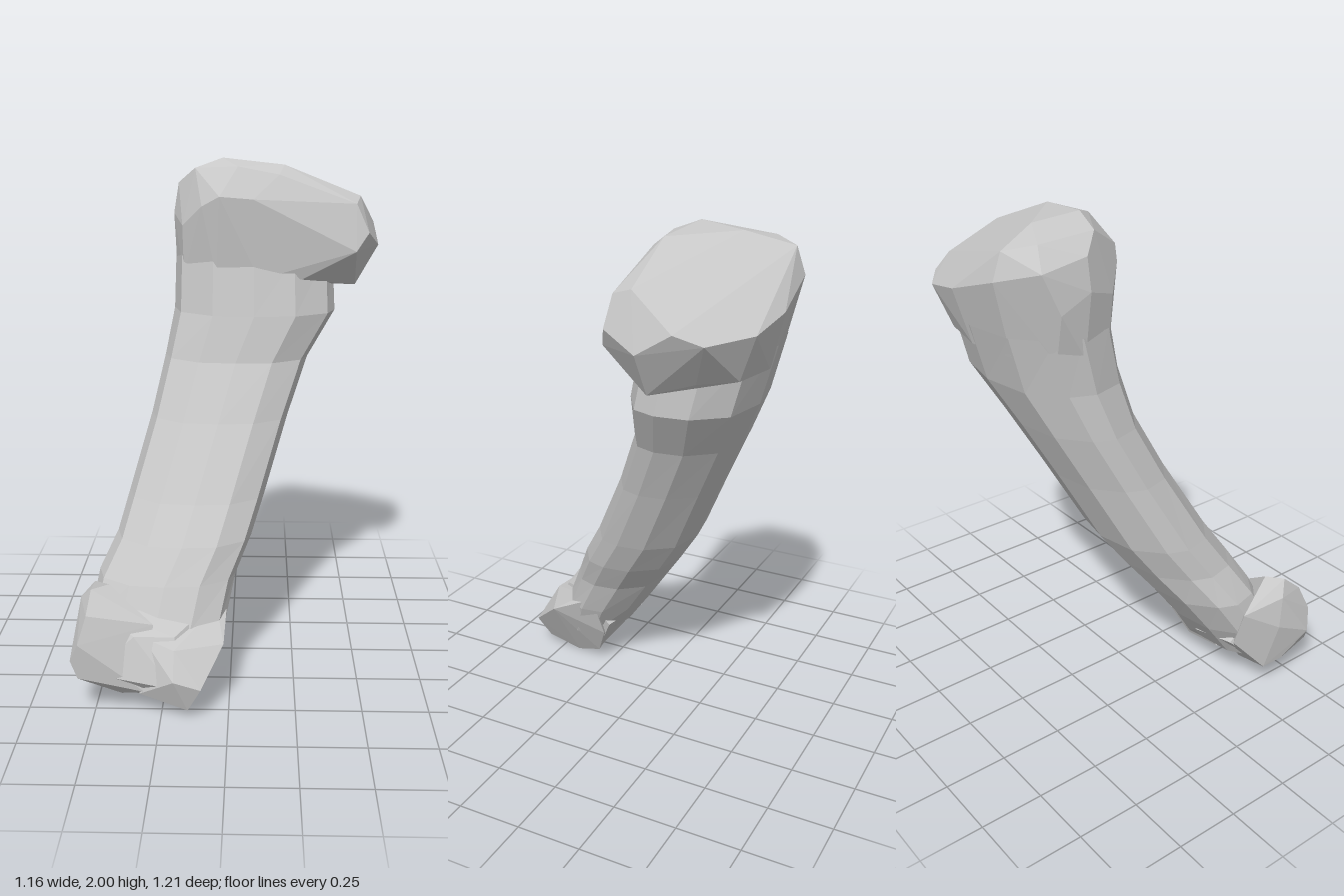
import * as THREE from 'three';
import { ConvexGeometry } from 'three/addons/geometries/ConvexGeometry.js';

// Shaft cross-section: flat at the front, fuller at the back left (x, z in -1..1)
const PROFILE = [[-1, 0], [-0.9, 0.54], [-0.5, 0.93], [0, 1], [0.5, 0.95], [0.9, 0.6],
  [1, 0.2], [0.95, -0.35], [0.66, -0.85], [0.1, -1], [-0.5, -0.85], [-0.88, -0.4]];

// Shaft stations, top to bottom: y, x min, x max, z min, z max
const STATIONS = [
  [1.62, -0.235, 0.4, -0.57, -0.09],
  [1.4, -0.24, 0.41, -0.51, -0.05],
  [1.22, -0.275, 0.3, -0.42, -0.02],
  [1.0, -0.325, 0.22, -0.31, 0.08],
  [0.72, -0.405, 0.13, -0.175, 0.23],
  [0.58, -0.445, 0.08, -0.08, 0.32],
  [0.45, -0.51, 0.02, 0.015, 0.39],
  [0.3, -0.54, -0.015, 0.12, 0.46],
  [0.15, -0.53, -0.07, 0.23, 0.48],
];

// Underside of the head, narrower at the front than the shaft below it
const NECK = [1.54, -0.23, 0.44, -0.55, -0.09];

function ring([y, x0, x1, z0, z1]) {
  return PROFILE.map(([u, w]) => [
    (x0 + x1) / 2 + u * (x1 - x0) / 2, y, (z0 + z1) / 2 + w * (z1 - z0) / 2]);
}

function loft(rings) {
  const n = PROFILE.length, index = [];
  for (let i = 0; i < rings.length - 1; i++) {
    for (let j = 0; j < n; j++) {
      const k = (j + 1) % n;
      const a = i * n + j, b = i * n + k, c = a + n, d = b + n;
      index.push(a, c, b, b, c, d);
    }
  }
  // close the lower end
  const base = (rings.length - 1) * n;
  for (let j = 1; j < n - 1; j++) index.push(base, base + j + 1, base + j);
  const g = new THREE.BufferGeometry();
  g.setAttribute('position', new THREE.Float32BufferAttribute(rings.flat(2), 3));
  g.setIndex(index);
  g.computeVertexNormals();
  return g;
}

const hull = (points) => new ConvexGeometry(points.map((p) => new THREE.Vector3(...p)));

export function createModel() {
  const group = new THREE.Group();
  group.name = 'bone';
  const bone = new THREE.MeshStandardMaterial({ color: 0xc8c8c8, flatShading: true });
  bone.name = 'bone grey';
  const add = (name, geometry) => {
    const mesh = new THREE.Mesh(geometry, bone);
    mesh.name = name;
    group.add(mesh);
  };

  add('shaft', loft(STATIONS.map(ring)));

  // Broad upper end: joint surface sloping to the back, rim and side bulge
  add('upperHead', hull([
    // crest
    [-0.04, 2, -0.2], [-0.01, 1.98, -0.38], [-0.15, 1.96, -0.22], [-0.15, 1.95, -0.45],
    [-0.08, 1.93, -0.55], [0.02, 1.97, -0.12], [0.2, 1.975, -0.17], [0.3, 1.93, -0.18],
    [0.18, 1.94, -0.12], [0.5, 1.855, -0.2], [0.48, 1.83, -0.12],
    // rim
    [-0.22, 1.9, -0.3], [-0.215, 1.87, -0.48], [-0.08, 1.83, -0.585], [0.16, 1.75, -0.605],
    [0.35, 1.71, -0.58], [0.52, 1.7, -0.47], [0.57, 1.74, -0.38], [0.58, 1.66, -0.25],
    [0.53, 1.72, -0.11], [0.48, 1.65, -0.08], [0.25, 1.78, -0.085], [0.08, 1.85, -0.055],
    [-0.05, 1.86, -0.055], [-0.12, 1.82, -0.1], [-0.2, 1.74, -0.18], [-0.24, 1.78, -0.3],
    [-0.235, 1.72, -0.42], [0.49, 1.5, -0.25],
    ...ring(NECK),
  ]));

  // Solid lower end joining the knuckles
  add('lowerEnd', hull([
    [-0.45, 0.38, 0.44], [-0.1, 0.35, 0.38], [-0.2, 0.3, 0.5], [-0.35, 0.31, 0.52],
    [-0.33, 0.15, 0.545], [-0.2, 0.13, 0.58], [-0.5, 0.17, 0.545],
    [-0.4, 0.07, 0.49], [-0.2, 0.02, 0.43], [-0.3, 0.05, 0.34], [-0.12, 0.06, 0.3],
    [-0.53, 0.12, 0.34], [-0.07, 0.22, 0.22], [-0.3, 0.22, 0.18], [-0.48, 0.25, 0.2],
  ]));

  // Two rounded knuckles with a shallow groove between them
  add('leftKnuckle', hull([
    [-0.02, 0.31, 0.36], [-0.02, 0.26, 0.47], [-0.1, 0.14, 0.605], [-0.2, 0.17, 0.605],
    [-0.15, 0.04, 0.57], [-0.15, 0.005, 0.42], [-0.22, 0.01, 0.47], [-0.12, 0.05, 0.3],
    [-0.28, 0.06, 0.32], [-0.06, 0.18, 0.24], [-0.32, 0.3, 0.5], [-0.33, 0.09, 0.54],
    [-0.05, 0.35, 0.33], [-0.2, 0.27, 0.55], [-0.01, 0.36, 0.27],
  ]));
  add('rightKnuckle', hull([
    [-0.51, 0.47, 0.46], [-0.45, 0.47, 0.41], [-0.555, 0.42, 0.41], [-0.52, 0.4, 0.54],
    [-0.575, 0.3, 0.38], [-0.585, 0.22, 0.54], [-0.55, 0.3, 0.575], [-0.555, 0.16, 0.56],
    [-0.56, 0.12, 0.42], [-0.55, 0.11, 0.33], [-0.4, 0.07, 0.5], [-0.4, 0.08, 0.33],
    [-0.5, 0.26, 0.2], [-0.28, 0.34, 0.48], [-0.31, 0.1, 0.545], [-0.53, 0.4, 0.22],
  ]));

  return group;
}
